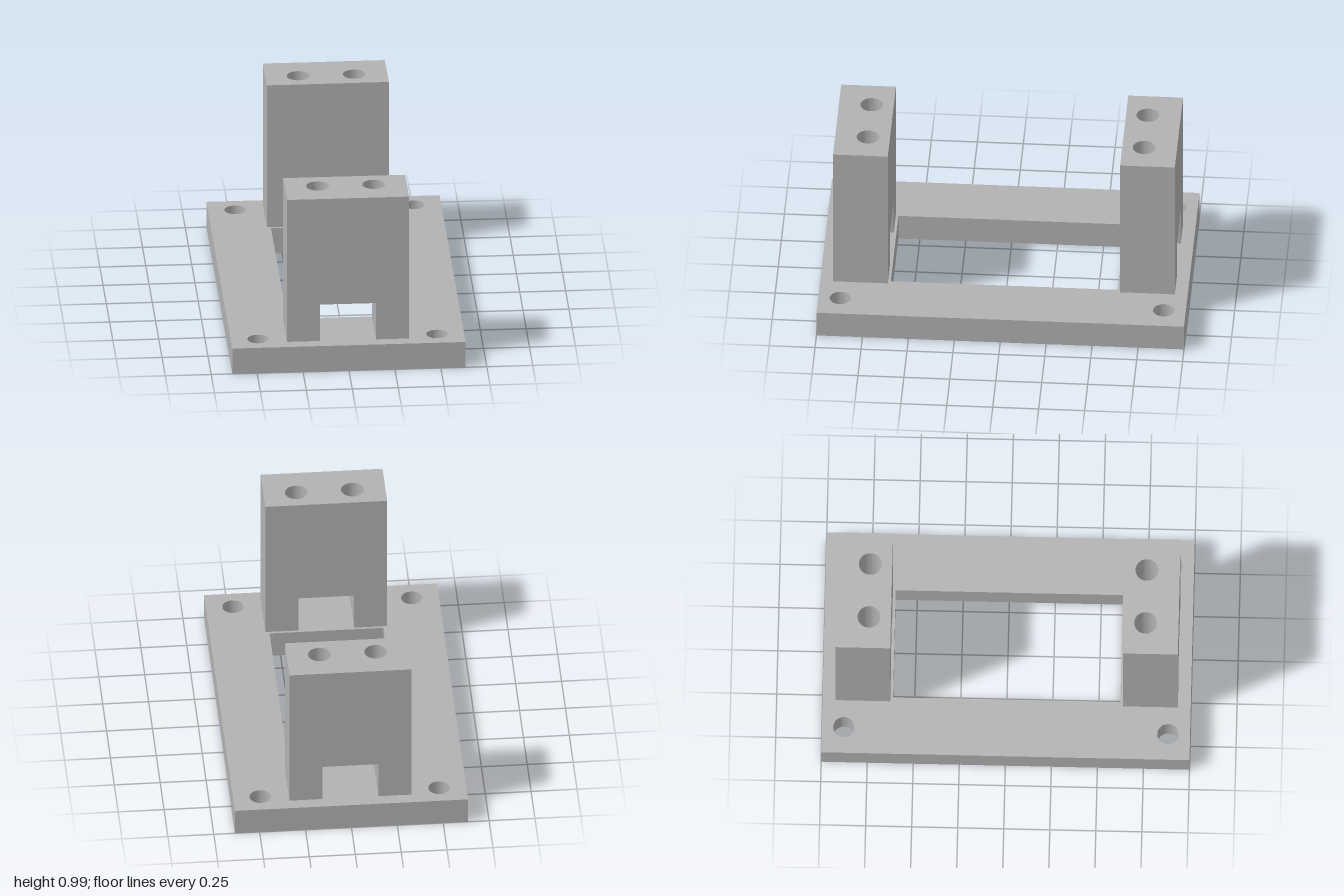
import * as THREE from 'three';
import { toCreasedNormals } from 'three/addons/utils/BufferGeometryUtils.js';

const PLATE_H = 0.15, TOP = 0.99, HOLE_FLOOR = 0.5;
const POST_W = 0.332, POST_D = 0.149, POST_Z = 0.781;

function rectPoints(w, d) {
  return [[-w, -d], [w, -d], [w, d], [-w, d]].map(([x, y]) => new THREE.Vector2(x, y));
}

function circleHole(x, y, r) {
  const path = new THREE.Path();
  path.absarc(x, y, r, 0, Math.PI * 2, true);
  return path;
}

function extrude(shape, depth) {
  const geo = new THREE.ExtrudeGeometry(shape, { depth, bevelEnabled: false, curveSegments: 20 });
  return toCreasedNormals(geo, 0.6);
}

// Plan shape (x, -z) raised from y0 to y1
function slab(shape, y0, y1) {
  return extrude(shape, y1 - y0).rotateX(-Math.PI / 2).translate(0, y0, 0);
}

export function createModel() {
  const grey = new THREE.MeshStandardMaterial({ color: 0xb2b2b2 });
  grey.name = 'plain grey';
  const model = new THREE.Group();
  model.name = 'mountingBracket';

  const add = (parent, name, geo) => {
    const mesh = new THREE.Mesh(geo, grey);
    mesh.name = name;
    parent.add(mesh);
  };

  // Base frame with a rectangular opening and four corner screw holes
  const plate = new THREE.Shape(rectPoints(0.635, 1));
  plate.holes.push(new THREE.Path(rectPoints(0.31, 0.617).reverse()));
  for (const x of [-0.487, 0.487])
    for (const z of [-0.88, 0.88]) plate.holes.push(circleHole(x, z, 0.058));
  add(model, 'basePlate', slab(plate, 0, PLATE_H));

  // Notched lower half of a post, profile seen from the front
  const lower = new THREE.Shape([
    [-POST_W, PLATE_H], [-0.152, PLATE_H], [-0.152, 0.365], [0.152, 0.365],
    [0.152, PLATE_H], [POST_W, PLATE_H], [POST_W, HOLE_FLOOR], [-POST_W, HOLE_FLOOR],
  ].map(([x, y]) => new THREE.Vector2(x, y)));
  const lowerGeo = extrude(lower, POST_D * 2).translate(0, 0, -POST_D);

  // Upper half of a post with two blind holes
  const upper = new THREE.Shape(rectPoints(POST_W, POST_D));
  for (const x of [-0.153, 0.153]) upper.holes.push(circleHole(x, 0.03, 0.062));
  const upperGeo = slab(upper, HOLE_FLOOR, TOP);

  for (const side of [1, -1]) {
    const post = new THREE.Group();
    post.name = side > 0 ? 'frontPost' : 'backPost';
    add(post, 'notchedLegs', lowerGeo);
    add(post, 'drilledBlock', side > 0 ? upperGeo.clone().rotateY(0) : upperGeo.clone().rotateY(Math.PI));
    post.position.z = side * POST_Z;
    model.add(post);
  }
  return model;
}
